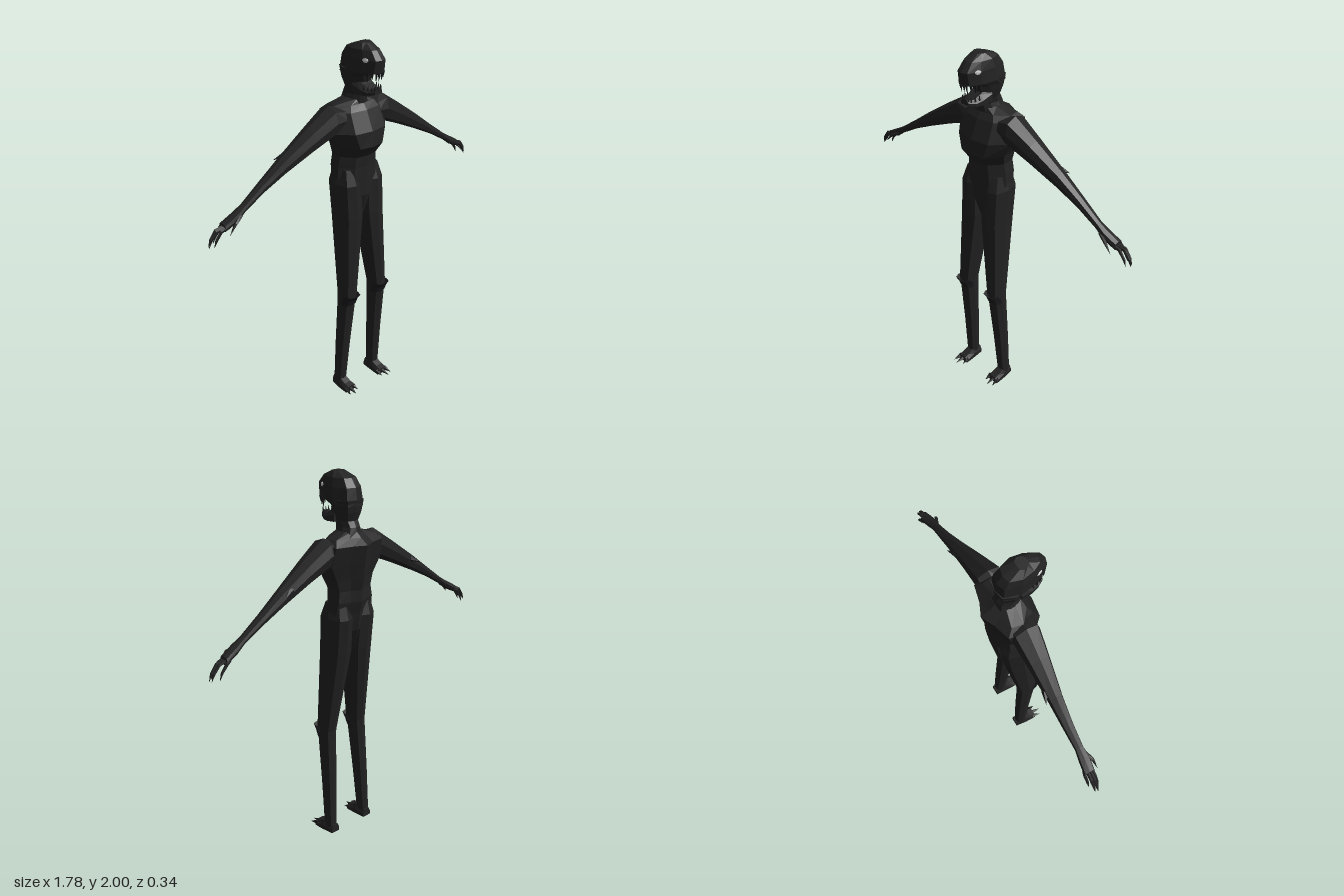
import * as THREE from 'three';

const flat = (name, color) => {
  const m = new THREE.MeshStandardMaterial({ color, flatShading: true });
  m.name = name;
  return m;
};

// Skin a list of equal-sized rings of [x, y, z] points and close both ends
function loft(rings) {
  const tris = [], n = rings[0].length;
  const middle = r => [0, 1, 2].map(k => r.reduce((sum, p) => sum + p[k], 0) / n);
  const first = rings[0], last = rings[rings.length - 1];
  const a = middle(first), b = middle(last);
  for (let j = 0; j < n; j++) {
    const k = (j + 1) % n;
    tris.push([a, first[k], first[j]], [b, last[j], last[k]]);
    for (let i = 0; i + 1 < rings.length; i++) {
      const r = rings[i], s = rings[i + 1];
      tris.push([r[j], r[k], s[k]], [r[j], s[k], s[j]]);
    }
  }
  // Turn the faces outward whatever the ring order or mirroring
  const o = new THREE.Vector3(...a), v = p => new THREE.Vector3(...p).sub(o);
  const volume = tris.reduce((sum, t) => sum + v(t[0]).dot(v(t[1]).cross(v(t[2]))), 0);
  if (volume < 0) tris.forEach(t => t.reverse());
  const g = new THREE.BufferGeometry();
  g.setAttribute('position', new THREE.Float32BufferAttribute(tris.flat(2), 3));
  g.computeVertexNormals();
  return g;
}

// Half outlines from front to back: [share of half width, share of depth from the back]
const TORSO = [[0, 1], [0.55, 0.94], [1, 0.6], [0.92, 0.24], [0.4, 0.14], [0, 0]];
const HEAD = [[0, 1], [0.45, 0.96], [0.82, 0.72], [1, 0.38], [0.68, 0.06], [0, 0]];
const LIMB = [[0, 1], [0.72, 0.9], [1, 0.5], [0.7, 0.1], [0, 0]];

const outline = half => [...half, ...half.slice(1, -1).reverse().map(([u, v]) => [-u, v])];

// Upright part from rows of [y, centre x, half width, front z, back z]
const upright = (rows, half) => loft(rows.map(([y, cx, w, f, b]) =>
  outline(half).map(([u, v]) => [cx + u * w, y, b + v * (f - b)])));

// Sideways part from rows of [x, top y, bottom y, front z, back z]
const sideways = (rows, s) => loft(rows.map(([x, t, b, f, k]) =>
  outline(LIMB).map(([u, v]) => [s * x, (t + b) / 2 + u * (t - b) / 2, k + v * (f - k)])));

// Part running forward from rows of [z, centre x, half width, bottom y, top y]
const forward = rows => loft(rows.map(([z, cx, w, b, t]) =>
  [[-1, b], [1, b], [1, (b + t) / 2], [0.6, t], [-0.6, t], [-1, (b + t) / 2]].map(([u, y]) => [cx + u * w, y, z])));

// Thin tapering claw along points [x, y, z, radius]
function claw(points) {
  const p = points.map(q => new THREE.Vector3(q[0], q[1], q[2]));
  return loft(p.map((c, i) => {
    const dir = p[Math.min(i + 1, p.length - 1)].clone().sub(p[Math.max(i - 1, 0)]).normalize();
    const q = new THREE.Quaternion().setFromUnitVectors(new THREE.Vector3(0, 1, 0), dir);
    return [0, 1, 2, 3, 4].map(k => {
      const t = k * Math.PI * 2 / 5, r = points[i][3];
      return new THREE.Vector3(Math.cos(t) * r, 0, Math.sin(t) * r).applyQuaternion(q).add(c).toArray();
    });
  }));
}

export function createModel() {
  const model = new THREE.Group();
  const skin = flat('charcoal skin', 0x222222);
  const horn = flat('dark horn', 0x1c1c1f);
  const white = flat('pale eye', 0xd0d0d0);
  const add = (name, geometry, material = skin) => {
    const m = new THREE.Mesh(geometry, material);
    m.name = name;
    model.add(m);
    return m;
  };

  // Torso with a ridged back
  add('torso', upright([
    [1.07, 0, 0.015, 0.03, -0.05], [1.2, 0, 0.09, 0.07, -0.1],
    [1.3, 0, 0.133, 0.07, -0.11], [1.36, 0, 0.126, 0.07, -0.125],
    [1.42, 0, 0.117, 0.075, -0.122], [1.48, 0, 0.135, 0.12, -0.135],
    [1.56, 0, 0.18, 0.112, -0.145], [1.66, 0, 0.17, 0.068, -0.163],
    [1.69, 0, 0.14, 0.045, -0.115], [1.715, 0, 0.055, 0.035, -0.085],
  ], TORSO));

  // Neck and skull
  add('neck', upright([
    [1.69, 0, 0.065, 0.045, -0.09], [1.735, 0, 0.048, 0.05, -0.08],
    [1.765, 0, 0.05, 0.06, -0.064], [1.81, 0, 0.066, 0.07, -0.078],
    [1.87, 0, 0.077, 0.09, -0.088],
  ], HEAD));
  add('skull', upright([
    [1.84, 0, 0.074, 0.085, -0.086], [1.866, 0, 0.077, 0.162, -0.086],
    [1.93, 0, 0.07, 0.172, -0.076], [1.973, 0, 0.06, 0.135, -0.045],
    [2, 0, 0.035, 0.08, 0.025],
  ], HEAD));

  // Open lower jaw
  add('lowerJaw', forward([
    [0.02, 0, 0.058, 1.755, 1.83], [0.075, 0, 0.053, 1.75, 1.8],
    [0.115, 0, 0.042, 1.75, 1.782], [0.15, 0, 0.024, 1.762, 1.788],
  ]));

  // Front teeth
  for (const x of [-0.018, 0, 0.018]) {
    add('upperTooth', claw([[x, 1.872, 0.155, 0.008], [x, 1.825, 0.15, 0.0005]]), horn);
    add('lowerTooth', claw([[x, 1.78, 0.143, 0.006], [x, 1.808, 0.148, 0.0005]]), horn);
  }

  for (const s of [1, -1]) {
    // Side teeth and eye
    [[0.036, 0.142, 1.835], [0.046, 0.122, 1.822], [0.055, 0.1, 1.815]].forEach(([x, z, y]) => {
      add('upperTooth', claw([[s * x, 1.868, z, 0.009], [s * x, y, z, 0.0005]]), horn);
      add('lowerTooth', claw([[s * x * 0.72, 1.775, z - 0.01, 0.006], [s * x * 0.75, 1.803, z - 0.008, 0.0005]]), horn);
    });
    const eye = add('eye', new THREE.SphereGeometry(1, 6, 4), white);
    eye.scale.set(0.018, 0.012, 0.005);
    eye.position.set(s * 0.052, 1.928, 0.112);
    eye.rotation.y = s * 1.18;

    // Arm, drawn down and outward
    add('arm', sideways([
      [0.1, 1.68, 1.57, 0.05, -0.1], [0.17, 1.698, 1.545, 0.05, -0.095],
      [0.3, 1.612, 1.49, 0.028, -0.085], [0.46, 1.5, 1.415, 0, -0.075],
      [0.58, 1.41, 1.355, -0.014, -0.07], [0.69, 1.33, 1.29, -0.02, -0.064],
      [0.74, 1.3, 1.252, -0.014, -0.072], [0.805, 1.263, 1.222, -0.022, -0.08],
    ], s));
    add('elbowSpike', claw([[s * 0.41, 1.495, -0.066, 0.018], [s * 0.465, 1.475, -0.092, 0.0005]]), horn);

    // Fingers and thumb
    [[-0.076, 0.85], [-0.062, 0.885], [-0.048, 0.89], [-0.034, 0.87]].forEach(([z, x]) => add('finger', claw([
      [s * 0.785, 1.245, z * 0.9, 0.01], [s * (x - 0.045), 1.233, z, 0.009],
      [s * (x - 0.015), 1.195, z, 0.007], [s * x, 1.16, z, 0.0005]])));
    add('thumb', claw([
      [s * 0.715, 1.285, -0.026, 0.011], [s * 0.76, 1.262, -0.006, 0.009], [s * 0.8, 1.215, 0, 0.0005]]));

    // Leg
    add('leg', upright([
      [1.35, s * 0.075, 0.045, 0.045, -0.085], [1.27, s * 0.075, 0.065, 0.074, -0.108],
      [1.08, s * 0.072, 0.067, 0.082, -0.09], [0.62, s * 0.107, 0.042, 0.086, -0.023],
      [0.57, s * 0.109, 0.041, 0.075, -0.023], [0.3, s * 0.117, 0.036, 0.043, -0.036],
      [0.03, s * 0.125, 0.029, 0.018, -0.047],
    ], LIMB));
    add('kneeGuard', upright([
      [0.57, s * 0.109, 0.043, 0.077, 0], [0.605, s * 0.108, 0.046, 0.09, 0.005],
      [0.635, s * 0.107, 0.045, 0.112, 0.03], [0.615, s * 0.107, 0.03, 0.085, 0.04],
    ], LIMB), horn);

    // Foot with three claws
    add('foot', forward([
      [-0.052, s * 0.122, 0.027, 0, 0.045], [0.015, s * 0.124, 0.034, 0, 0.055],
      [0.05, s * 0.124, 0.036, 0, 0.04], [0.08, s * 0.124, 0.036, 0, 0.032],
    ]));
    [[0.098, 0.094, 0.105], [0.125, 0.128, 0.128], [0.148, 0.158, 0.115]].forEach(([x, tip, z]) =>
      add('toeClaw', claw([[s * x, 0.017, 0.065, 0.015], [s * tip, 0.006, z, 0.001]]), horn));
  }
  return model;
}
